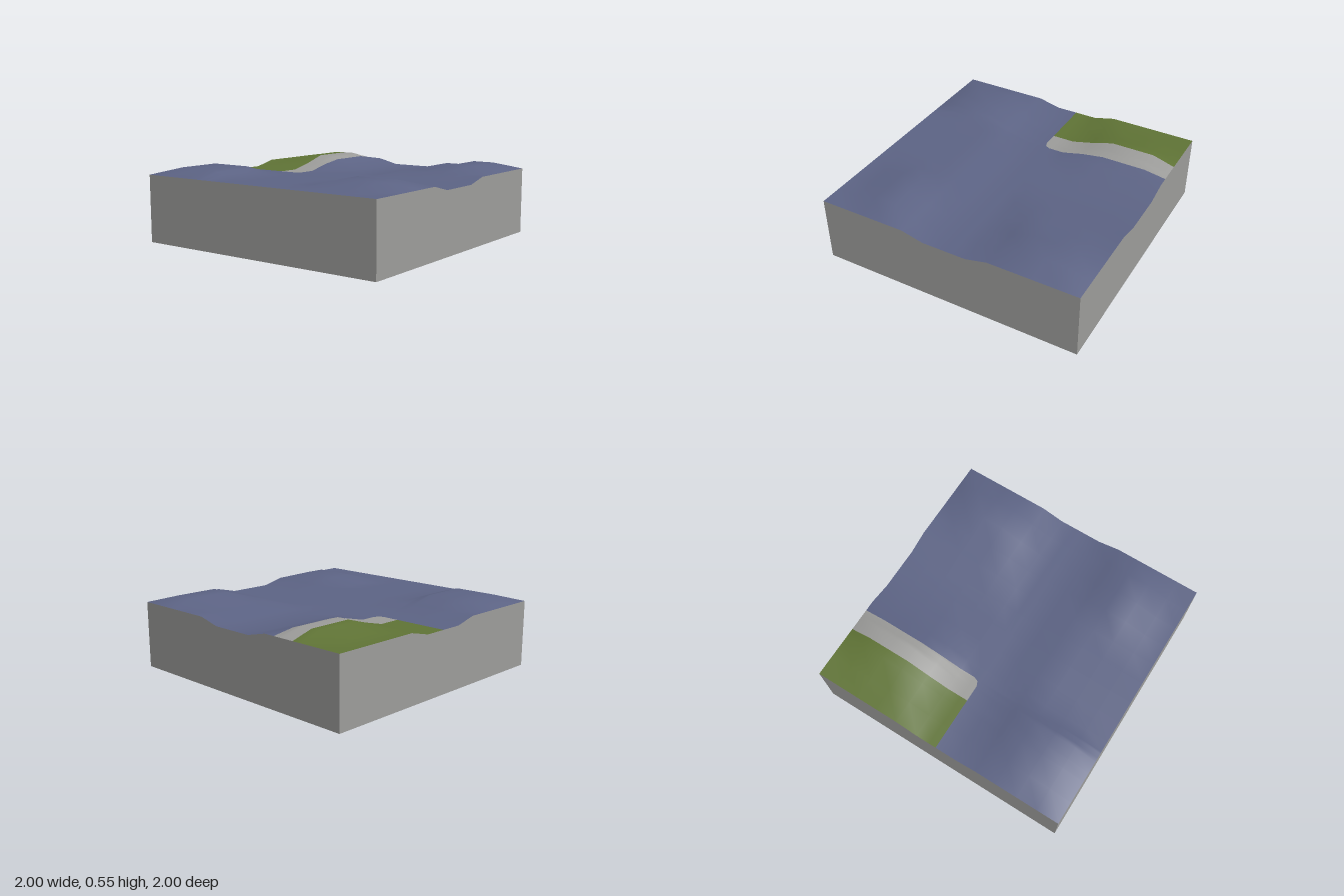
import * as THREE from 'three';

const paint = (name, color) => {
  const m = new THREE.MeshStandardMaterial({ color, side: THREE.DoubleSide });
  m.name = name;
  return m;
};

// 1 between a and b, falling to 0 over one grid step outside
const STEP = 1 / 6;
const band = (v, a, b) =>
  THREE.MathUtils.clamp(Math.min((v - a) / STEP + 1, (b - v) / STEP + 1), 0, 1);

// Flat hill tops: x0, x1, z0, z1 in grid steps
const HILLS = [[-5, -3, -5, -3], [-4, -3, 3, 5], [3, 5, -4, -3], [3, 5, 4, 5]];

function height(x, z) {
  let y = 0.5;
  for (const [x0, x1, z0, z1] of HILLS)
    y += 0.05 * band(x, x0 * STEP, x1 * STEP) * band(z, z0 * STEP, z1 * STEP);
  // T-shaped shallow valley: full depth of the tile, plus an arm to +x
  const valley = Math.max(band(x, -STEP, STEP), x > 0 ? band(z, -STEP, STEP) : 0);
  return y - 0.04 * valley;
}

// 0 ground, 1 grass, 2 kerb with a rounded corner
const R = 0.05, GRASS_Z = -0.595, KERB_Z = -0.42;
function zone(x, z) {
  if (x < 0 || z > KERB_Z) return 0;
  if (z < GRASS_Z) return 1;
  const dx = R - x, dz = z - (KERB_Z - R);
  return dx > 0 && dz > 0 && Math.hypot(dx, dz) > R ? 0 : 2;
}

function makeGeometry(points, index) {
  const g = new THREE.BufferGeometry();
  g.setAttribute('position', new THREE.Float32BufferAttribute(points, 3));
  g.setIndex(index);
  g.computeVertexNormals();
  return g;
}

function gridLines(extra) {
  const lines = [...extra];
  for (let i = -6; i <= 6; i++) lines.push(i * STEP);
  return lines.sort((a, b) => a - b);
}

export function createModel() {
  const group = new THREE.Group();
  const ground = paint('slate blue ground', 0x5c6384);
  const grass = paint('olive grass', 0x5f7335);
  const stone = paint('grey stone', 0x9c9c9a);

  // Rolling surface, split by colour zone
  const xs = gridLines([0.015, R]);
  const zs = gridLines([GRASS_Z, KERB_Z - R, KERB_Z - 0.015, KERB_Z]);
  const points = [], zones = [[], [], []], w = xs.length;
  for (const z of zs) for (const x of xs) points.push(x, height(x, z), z);
  for (let j = 0; j < zs.length - 1; j++) {
    for (let i = 0; i < w - 1; i++) {
      const a = j * w + i, b = a + 1, c = a + w, d = c + 1;
      for (const tri of [[a, c, d], [a, d, b]]) {
        const cx = tri.reduce((s, k) => s + points[k * 3], 0) / 3;
        const cz = tri.reduce((s, k) => s + points[k * 3 + 2], 0) / 3;
        zones[zone(cx, cz)].push(...tri);
      }
    }
  }
  const surface = makeGeometry(points, zones.flat());
  let start = 0;
  zones.forEach((z, k) => {
    surface.addGroup(start, z.length, k);
    start += z.length;
  });
  const top = new THREE.Mesh(surface, [ground, grass, stone]);
  top.name = 'terrainSurface';
  group.add(top);

  // Four side walls following the surface edge; the underside is open
  const walls = {
    frontWall: t => [t, 1],
    leftWall: t => [1, -t],
    backWall: t => [-t, -1],
    rightWall: t => [-1, t],
  };
  for (const [name, edge] of Object.entries(walls)) {
    const pts = [], index = [];
    for (let i = 0; i <= 12; i++) {
      const [x, z] = edge(i * STEP - 1);
      pts.push(x, 0, z, x, height(x, z), z);
      if (i < 12) {
        const a = i * 2;
        index.push(a, a + 2, a + 3, a, a + 3, a + 1);
      }
    }
    const wall = new THREE.Mesh(makeGeometry(pts, index), stone);
    wall.name = name;
    group.add(wall);
  }
  return group;
}
